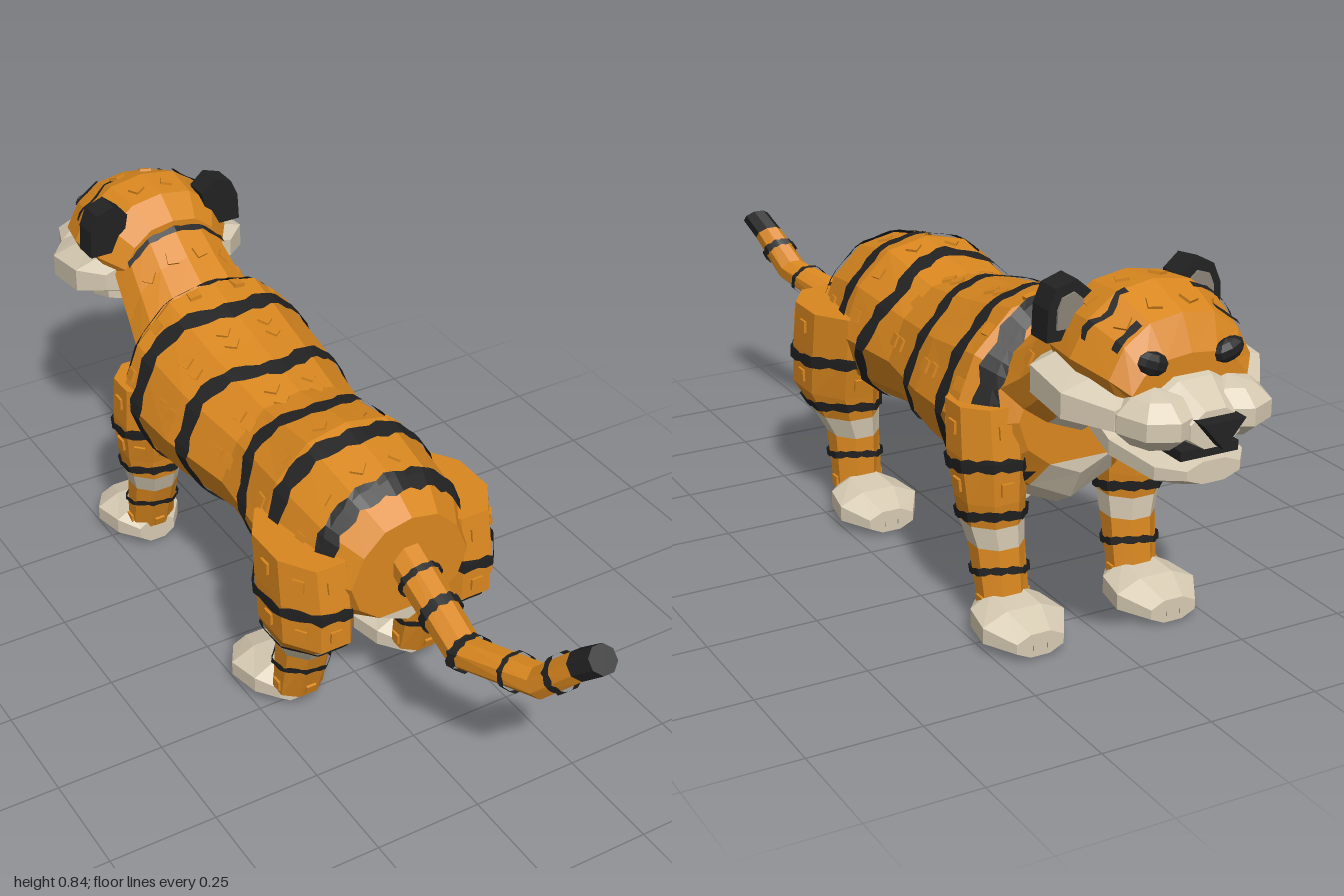
import * as THREE from 'three';

const mat = (name, color) => new THREE.MeshStandardMaterial({ name, color, flatShading: true, side: THREE.DoubleSide });
const V = (x, y, z) => new THREE.Vector3(x, y, z);

// Half outline of a torso section: [share of half width, share of height], from belly edge to spine
const HALF = [[0.5, 0.12], [0.85, 0.27], [1, 0.5], [0.8, 0.77], [0.45, 0.95]];
const OUTLINE = [...HALF, [0, 1], ...HALF.map(([x, y]) => [-x, y]).reverse()];
const upper = ([z, top, w, bot]) => OUTLINE.map(([x, y]) => V(x * w, bot + y * (top - bot), z));
const lower = s => { const u = upper(s); return [u[10], V(0, s[3], s[0]), u[0]]; };

// Closed ring in a vertical plane (across z), optionally tilted
function ringZ(n, cx, cy, cz, rx, ry, tilt = 0) {
  return Array.from({ length: n + 1 }, (_, j) => {
    const a = (j % n) / n * Math.PI * 2 + Math.PI / n, s = ry * Math.sin(a);
    return V(cx + rx * Math.cos(a), cy + s * Math.cos(tilt), cz - s * Math.sin(tilt));
  });
}
// Closed ring in a level plane; rx and rz reach the flat sides
function ringY(cx, y, cz, rx, rz) {
  const k = 1 / Math.cos(Math.PI / 8);
  return Array.from({ length: 9 }, (_, j) => {
    const a = (j % 8) * Math.PI / 4 + Math.PI / 8;
    return V(cx + k * rx * Math.cos(a), y, cz - k * rz * Math.sin(a));
  });
}

// Skin stretched over consecutive rings
function loft(rings, capStart = true, capEnd = true) {
  const p = [], tri = (...v) => v.forEach(q => p.push(q.x, q.y, q.z));
  for (let i = 0; i + 1 < rings.length; i++)
    for (let j = 0; j + 1 < rings[i].length; j++) {
      const a = rings[i][j], b = rings[i][j + 1], c = rings[i + 1][j + 1], d = rings[i + 1][j];
      tri(a, d, b); tri(b, d, c);
    }
  const cap = (r, flip) => {
    const m = V(0, 0, 0);
    r.forEach(q => m.addScaledVector(q, 1 / r.length));
    r.forEach((q, j) => { const n = r[(j + 1) % r.length]; flip ? tri(m, n, q) : tri(m, q, n); });
  };
  if (capStart) cap(rings[0], false);
  if (capEnd) cap(rings[rings.length - 1], true);
  const g = new THREE.BufferGeometry();
  g.setAttribute('position', new THREE.Float32BufferAttribute(p, 3));
  g.computeVertexNormals();
  return g;
}

// Point on a skin: k runs along descending keys, t around the ring, lift goes outward
function skin(keys, rings) {
  return (k, t, lift = 0) => {
    let i = 0;
    while (i < keys.length - 2 && k < keys[i + 1]) i++;
    const f = (k - keys[i]) / (keys[i + 1] - keys[i]);
    const r = rings[i].map((q, j) => q.clone().lerp(rings[i + 1][j], f));
    const j = Math.min(Math.floor(t), r.length - 2), p = r[j].clone().lerp(r[j + 1], t - j), m = V(0, 0, 0);
    r.forEach(q => m.addScaledVector(q, 1 / r.length));
    return p.addScaledVector(p.clone().sub(m).normalize(), lift);
  };
}

export function createModel() {
  const root = new THREE.Group();
  root.name = 'tiger';
  const orange = mat('orangeFur', 0xd9871f), white = mat('creamFur', 0xd6cab2);
  const black = mat('blackFur', 0x222222), grey = mat('clawGrey', 0x8a8378);
  const add = (name, geo, m, x = 0, y = 0, z = 0) => {
    const o = new THREE.Mesh(geo, m);
    o.name = name;
    o.position.set(x, y, z);
    root.add(o);
    return o;
  };

  // Thin painted band on a skin, with a ragged edge
  function stripe(name, at, centre, t0, t1, w) {
    const n = Math.ceil((t1 - t0) * 4), rows = [0.5, 0.17, -0.17, -0.5];
    add(name, loft(rows.map(r => Array.from({ length: n + 1 }, (_, i) => {
      const t = t0 + (t1 - t0) * i / n;
      return at(centre(t) + r * w * (1 + 0.25 * Math.sin(t * 9)), t, 0.007);
    })), false, false), black);
  }
  // Small square fur tufts standing slightly off a skin
  function tufts(name, at, ks, ts, size = 0.028) {
    const geo = new THREE.BoxGeometry(size, size, 0.012);
    for (const k of ks) for (const t of ts) {
      const p = at(k, t), e = 0.02;
      const n = at(k - e, t).sub(p).cross(at(k, t + e).sub(p)).normalize();
      add(name, geo, orange, p.x, p.y, p.z).lookAt(p.clone().add(n));
    }
  }
  // Torso-like part: orange above, cream strip below
  function trunk(name, secs) {
    const rings = secs.map(upper);
    add(name, loft(rings), orange);
    add(name + 'Underside', loft(secs.map(lower)), white);
    return skin(secs.map(s => s[0]), rings);
  }

  // Body, neck and head sections: z, top, half width, bottom
  const body = trunk('body', [[0.46, 0.58, 0.145, 0.31], [0.37, 0.635, 0.2, 0.26], [0.2, 0.67, 0.22, 0.25],
    [0, 0.635, 0.2, 0.285], [-0.2, 0.67, 0.235, 0.26], [-0.4, 0.715, 0.25, 0.235],
    [-0.46, 0.67, 0.2, 0.27], [-0.5, 0.62, 0.15, 0.34]]);
  const neck = trunk('neck', [[-0.42, 0.66, 0.18, 0.38], [-0.52, 0.72, 0.16, 0.45], [-0.62, 0.79, 0.145, 0.54], [-0.68, 0.8, 0.14, 0.57]]);
  const head = trunk('head', [[-0.59, 0.785, 0.13, 0.59], [-0.65, 0.83, 0.17, 0.575], [-0.75, 0.838, 0.185, 0.575],
    [-0.85, 0.8, 0.16, 0.58], [-0.885, 0.73, 0.13, 0.6]]);

  // Back stripes: z at the spine, upper flank, lower flank and belly edge
  for (const s of [[0.39, 0.385, 0.4, 0.37], [0.25, 0.23, 0.24, 0.26], [0.11, 0.06, 0.13, 0.17],
    [-0.08, -0.15, -0.14, -0.05], [-0.29, -0.34, -0.33, -0.28], [-0.41, -0.44, -0.455, -0.46]])
    stripe('bodyStripe', body, t => {
      const u = Math.abs(t - 5) / 5 * 3, i = Math.min(2, Math.floor(u));
      return s[i] + (s[i + 1] - s[i]) * (u - i);
    }, 0.2, 9.8, 0.042);
  tufts('bodyTuft', body, [0.32, 0.17, 0, -0.04, -0.21, -0.25, -0.385], [2.5, 3.5, 4.5, 5.5, 6.5, 7.5]);
  tufts('neckTuft', neck, [-0.53], [2.5, 3.5, 4.5, 5.5, 6.5, 7.5]);
  tufts('headTuft', head, [-0.7, -0.81], [3.5, 4.5, 5.5, 6.5]);
  stripe('neckStripe', neck, () => -0.58, 3, 7, 0.012);
  for (const t of [2.6, 5.8]) {
    stripe('browStripe', head, u => -0.77 + 0.01 * Math.sin(u * 5), t, t + 1.6, 0.014);
    stripe('browStripe', head, () => -0.84, t + 0.2, t + 1.2, 0.016);
  }

  // Cream cheeks, jaw and muzzle
  const lump = rows => loft(rows.map(([z, w, b, t]) => ringZ(8, 0, (b + t) / 2, z, w * 1.08, (t - b) * 0.54)));
  add('cheeks', lump([[-0.62, 0.17, 0.6, 0.7], [-0.67, 0.225, 0.58, 0.715], [-0.79, 0.228, 0.57, 0.695], [-0.88, 0.165, 0.57, 0.67]]), white);
  add('jaw', lump([[-0.72, 0.12, 0.52, 0.6], [-0.8, 0.125, 0.495, 0.57], [-0.92, 0.1, 0.485, 0.55], [-0.97, 0.06, 0.5, 0.545]]), white);
  add('muzzleBridge', lump([[-0.84, 0.11, 0.58, 0.7], [-0.9, 0.09, 0.57, 0.685], [-0.97, 0.055, 0.57, 0.645]]), white);
  add('mouth', new THREE.BoxGeometry(0.13, 0.02, 0.1), black, 0, 0.557, -0.905);
  const nose = new THREE.Shape([[-0.048, 0.632], [0, 0.575], [0.048, 0.632]].map(p => new THREE.Vector2(...p)));
  add('nose', new THREE.ExtrudeGeometry(nose, { depth: 0.04, bevelEnabled: false }), black, 0, 0, -1);

  // Ear outline, around the ear's own centre
  const earPts = [[0.05, -0.06], [0.047, 0.005], [0.03, 0.045], [-0.015, 0.06], [-0.05, 0.03], [-0.04, -0.02], [-0.01, -0.06]];
  const earShape = (s, k) => new THREE.Shape(earPts.map(([x, y]) => new THREE.Vector2(s * k * x, k * y)));
  const flat = (shape, depth) => new THREE.ExtrudeGeometry(shape, { depth, bevelEnabled: false });

  for (const s of [1, -1]) {
    add('ear', flat(earShape(s, 1), 0.06), black, s * 0.15, 0.78, -0.69);
    add('innerEar', flat(earShape(s, 0.6), 0.006), grey, s * 0.15, 0.78, -0.695);
    const lobe = new THREE.SphereGeometry(1, 8, 5);
    lobe.scale(0.085, 0.058, 0.1);
    add('muzzleLobe', lobe, white, s * 0.083, 0.617, -0.885);
    const eye = new THREE.SphereGeometry(1, 8, 5);
    eye.scale(0.036, 0.024, 0.018);
    add('eye', eye, black, s * 0.085, 0.722, -0.883).rotation.z = s * 0.35;

    // Legs, each row: y, centre x, centre z, half width, half depth
    const legs = {
      hind: { paw: 0.27, rows: [[0.505, 0.18, 0.305, 0.085, 0.13], [0.4, 0.18, 0.32, 0.087, 0.135], [0.3, 0.178, 0.33, 0.088, 0.125],
        [0.24, 0.168, 0.3, 0.07, 0.085], [0.19, 0.158, 0.285, 0.056, 0.065], [0.05, 0.158, 0.262, 0.054, 0.045]] },
      front: { paw: -0.42, rows: [[0.51, 0.175, -0.4, 0.075, 0.08], [0.4, 0.175, -0.41, 0.077, 0.085], [0.3, 0.172, -0.42, 0.07, 0.072],
        [0.245, 0.168, -0.42, 0.064, 0.065], [0.195, 0.163, -0.43, 0.056, 0.056], [0.05, 0.16, -0.462, 0.052, 0.04]] },
    };
    for (const [kind, { paw, rows }] of Object.entries(legs)) {
      const rings = rows.map(([y, x, z, rx, rz]) => ringY(s * x, y, z, rx, rz)), at = skin(rows.map(r => r[0]), rings);
      add(kind + 'UpperLeg', loft(rings.slice(0, 4)), orange);
      add(kind + 'LegBand', loft(rings.slice(3, 5)), white);
      add(kind + 'LowerLeg', loft(rings.slice(4)), orange);
      for (const [y, w] of [[0.385, 0.028], [0.27, 0.022], [0.145, 0.016]])
        stripe(kind + 'LegStripe', at, t => y + 0.008 * Math.sin(t * Math.PI / 2), 0, 8, w);
      tufts(kind + 'LegTuft', at, [0.46, 0.335], [1.5, 5.5, s > 0 ? 7.5 : 3.5, s > 0 ? 6.5 : 4.5]);
      tufts(kind + 'LegTuft', at, [0.075], [1.5, 3.5, 5.5, 7.5], 0.024);

      // Paw with four claws
      const px = s * 0.163;
      add(kind + 'Paw', loft([[0, 0.05, 0.045, 0.035], [0.05, 0.09, 0.05, 0.05], [0.13, 0.105, 0.046, 0.046], [0.2, 0.06, 0.036, 0.028]]
        .map(([d, w, y, h]) => ringZ(8, px, y, paw - d, w, h))), white);
      for (const i of [-1.5, -0.5, 0.5, 1.5])
        add(kind + 'Claw', new THREE.IcosahedronGeometry(0.011, 0), grey, px + i * 0.033, 0.03, paw - 0.197 + Math.abs(i) * 0.012);
    }
  }

  // Tail from tip to root: x, y, z, radius, tilt
  const tailRows = [[0.105, 0.532, 0.977, 0.033, 0.8], [0.088, 0.495, 0.935, 0.034, 0.8], [0.055, 0.41, 0.86, 0.037, 0.5],
    [0, 0.372, 0.67, 0.042, -0.08], [0, 0.475, 0.43, 0.046, -0.4]];
  const tail = tailRows.map(([x, y, z, r, a]) => ringZ(8, x, y, z, r, r, a));
  add('tailTip', loft(tail.slice(0, 2)), black);
  add('tail', loft(tail.slice(1)), orange);
  const tailAt = skin(tailRows.map(r => r[2]), tail);
  for (const [z, w] of [[0.9, 0.012], [0.8, 0.012], [0.68, 0.022], [0.58, 0.022], [0.5, 0.014]])
    stripe('tailStripe', tailAt, () => z, 0, 8, w);
  return root;
}
